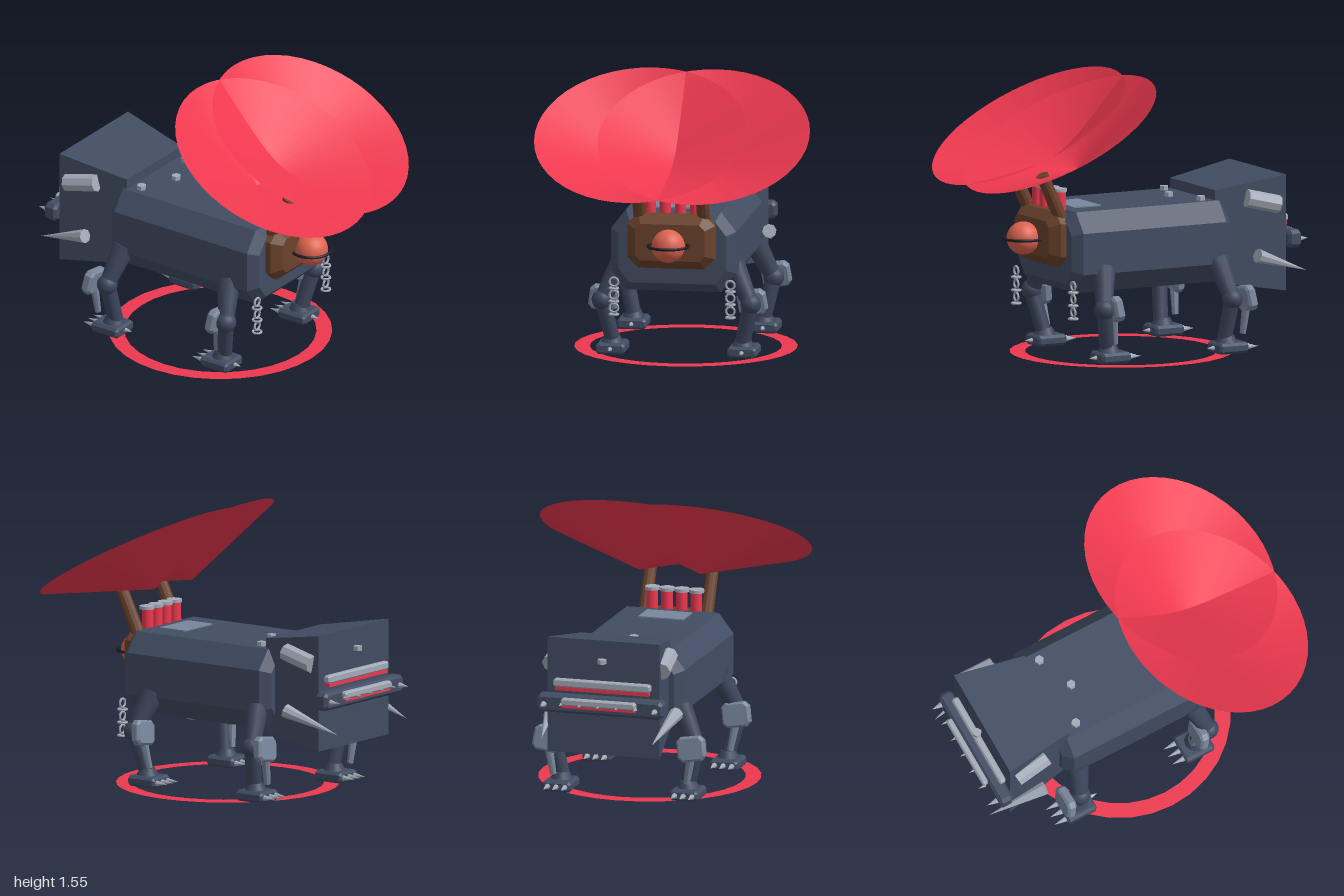
import * as THREE from 'three';

const V = (x, y, z) => new THREE.Vector3(x, y, z);
const mat = (color, extra = {}) => {
  const m = new THREE.MeshStandardMaterial(extra);
  m.color.set(color);
  return m;
};
const M = {
  hull: mat(0x424d63, { flatShading: true }),
  limb: mat(0x3c465c),
  dark: mat(0x2a3342, { flatShading: true }),
  black: mat(0x1a1d24),
  steel: mat(0xa3abb8, { flatShading: true }),
  plate: mat(0x78869c, { flatShading: true }),
  red: mat(0xee384f),
  sheet: mat(0xee384f, { side: THREE.DoubleSide }),
  brown: mat(0x6b422b, { flatShading: true }),
  orange: mat(0xde6450),
};

function add(parent, name, geo, material, pos = V(0, 0, 0), rot = [0, 0, 0]) {
  const mesh = new THREE.Mesh(geo, material);
  mesh.name = name;
  mesh.position.copy(pos);
  mesh.rotation.set(...rot);
  parent.add(mesh);
  return mesh;
}

// Tapered rod from a (radius ra) to b (radius rb); rb = 0 makes a spike
function rod(parent, name, a, b, ra, rb, material, sides = 12) {
  const dir = b.clone().sub(a);
  const geo = new THREE.CylinderGeometry(rb, ra, dir.length(), sides);
  const mesh = add(parent, name, geo, material, a.clone().add(b).multiplyScalar(0.5));
  mesh.quaternion.setFromUnitVectors(V(0, 1, 0), dir.normalize());
  return mesh;
}

// Block with cut corners (cx, cy) and chamfered ends, centred on the origin, long along z
function chamferBlock(w, h, d, cx, cy, bevel) {
  const x = w / 2, y = h / 2;
  const shape = new THREE.Shape([
    [x, -y + cy], [x, y - cy], [x - cx, y], [-x + cx, y],
    [-x, y - cy], [-x, -y + cy], [-x + cx, -y], [x - cx, -y],
  ].map(p => new THREE.Vector2(...p)));
  const geo = new THREE.ExtrudeGeometry(shape, {
    depth: d - 2 * bevel, bevelEnabled: true, bevelSegments: 1,
    bevelSize: bevel, bevelThickness: bevel, bevelOffset: -bevel,
  });
  return geo.translate(0, 0, -d / 2 + bevel);
}

// One leg on side s; knee, hip and foot given by their z
function addLeg(parent, name, s, hipZ, kneeZ, footZ, padZ) {
  const leg = new THREE.Group();
  leg.name = name;
  parent.add(leg);
  const knee = V(s * 0.415, 0.31, kneeZ), ankle = V(s * 0.365, 0.09, footZ + 0.02);
  rod(leg, 'thigh', V(s * 0.31, 0.52, hipZ), knee, 0.065, 0.045, M.limb);
  add(leg, 'knee', new THREE.SphereGeometry(0.058, 16, 12), M.limb, knee);
  rod(leg, 'shin', knee, ankle, 0.045, 0.042, M.limb);
  rod(leg, 'ankle', V(s * 0.365, 0.06, footZ + 0.01), V(s * 0.365, 0.105, footZ + 0.01), 0.065, 0.042, M.limb);
  add(leg, 'kneePad', chamferBlock(0.16, 0.14, 0.055, 0.025, 0.025, 0.012), M.plate,
    V(s * 0.415, 0.31, padZ), [0.15, 0, s * 0.15]);
  rod(leg, 'calfPiston', V(s * 0.41, 0.26, padZ), V(s * 0.385, 0.11, padZ - 0.02 + (footZ - padZ) * 0.3), 0.025, 0.018, M.plate, 8);
  add(leg, 'foot', chamferBlock(0.165, 0.06, 0.18, 0.015, 0.015, 0.012), M.hull, V(s * 0.367, 0.037, footZ));
  rod(leg, 'heelSpike', V(s * 0.367, 0.037, footZ + 0.08), V(s * 0.367, 0.037, footZ + 0.135), 0.016, 0, M.steel, 8);
  for (const i of [-1, 0, 1]) {
    const x = s * 0.367 + i * 0.05;
    rod(leg, 'toeSpike', V(x, 0.037, footZ - 0.08), V(x, 0.037, footZ - 0.165), 0.018, 0, M.steel, 8);
  }
}

export function createModel() {
  const model = new THREE.Group();
  model.name = 'walker';

  // Hull and rear housing
  add(model, 'hull', chamferBlock(0.7, 0.45, 1.0, 0.085, 0.11, 0.05), M.hull, V(0, 0.615, -0.02));
  const housing = new THREE.CylinderGeometry(0.257 * Math.SQRT2, 0.324 * Math.SQRT2, 0.41, 4);
  housing.rotateY(Math.PI / 4).rotateX(Math.PI / 2);
  add(model, 'rearHousing', housing, M.hull, V(0, 0.64, -0.655));
  add(model, 'topPanel', new THREE.BoxGeometry(0.26, 0.012, 0.17), M.plate, V(0, 0.841, 0.285));
  for (const [x, z] of [[-0.21, -0.385], [0.21, -0.385], [0, -0.3], [0, -0.89]])
    add(model, 'bolt', new THREE.CylinderGeometry(0.026, 0.026, 0.025, 6), M.steel, V(x, 0.852, z));

  // Face with a ringed eye
  add(model, 'face', chamferBlock(0.49, 0.305, 0.14, 0.06, 0.06, 0.05), M.brown, V(0, 0.683, 0.495));
  add(model, 'eye', new THREE.SphereGeometry(0.092, 32, 20), M.orange, V(0, 0.675, 0.617));
  add(model, 'eyeRing', new THREE.TorusGeometry(0.112, 0.008, 8, 40), M.black, V(0, 0.675, 0.617), [Math.PI / 2, 0, 0]);

  // Canisters in a row behind the face
  for (let i = 0; i < 4; i++) {
    const x = (i - 1.5) * 0.085;
    add(model, 'canister', new THREE.CylinderGeometry(0.032, 0.032, 0.13, 16), M.red, V(x, 0.88, 0.455));
    add(model, 'canisterCap', new THREE.CylinderGeometry(0.042, 0.042, 0.018, 16), M.steel, V(x, 0.949, 0.46));
  }

  // Mirrored dishes, posts, chains and side fittings
  for (const s of [-1, 1]) {
    const dish = new THREE.ConeGeometry(0.588, 0.23, 48, 1, true).rotateX(Math.PI);
    add(model, 'dish', dish, M.sheet, V(s * 0.177, 1.167, 0.43), [0.502, 0, 0]);
    rod(model, 'dishPost', V(s * 0.178, 0.79, 0.475), V(s * 0.178, 1.05, 0.597), 0.038, 0.035, M.brown, 12);

    for (let i = 0; i < 3; i++) {
      const y = 0.44 - i * 0.073;
      const link = () => new THREE.TorusGeometry(0.024, 0.0065, 8, 20);
      add(model, 'chainLink', link(), M.steel, V(s * 0.325, y, 0.482));
      add(model, 'chainCrossLink', link(), M.steel, V(s * 0.325, y - 0.036, 0.482), [Math.PI / 2, 0, 0]);
    }

    rod(model, 'sideExhaust', V(s * 0.32, 0.8, -0.815), V(s * 0.305, 0.847, -0.62), 0.05, 0.05, M.steel, 8);
    rod(model, 'sideSpike', V(s * 0.36, 0.53, -0.66), V(s * 0.317, 0.42, -0.99), 0.04, 0, M.steel, 8);
    rod(model, 'bumperSpike', V(s * 0.32, 0.6, -0.93), V(s * 0.32, 0.6, -1.0), 0.02, 0, M.steel, 8);

    const side = s > 0 ? 'Left' : 'Right';
    addLeg(model, 'front' + side + 'Leg', s, 0.28, 0.335, 0.27, 0.275);
    addLeg(model, 'back' + side + 'Leg', s, -0.43, -0.47, -0.47, -0.56);
  }

  // Rear bumper with slats and teeth
  add(model, 'bumper', chamferBlock(0.73, 0.1, 0.08, 0.02, 0.02, 0.015), M.hull, V(0, 0.605, -0.9));
  add(model, 'upperSlat', chamferBlock(0.56, 0.045, 0.04, 0.01, 0.01, 0.008), M.steel, V(0, 0.715, -0.88));
  add(model, 'upperGlow', new THREE.BoxGeometry(0.54, 0.02, 0.04), M.red, V(0, 0.683, -0.875));
  add(model, 'lowerSlat', chamferBlock(0.43, 0.04, 0.04, 0.01, 0.01, 0.008), M.steel, V(0, 0.625, -0.95));
  add(model, 'lowerGlow', new THREE.BoxGeometry(0.42, 0.015, 0.03), M.red, V(0, 0.598, -0.945));
  for (let i = -2; i <= 2; i++)
    rod(model, 'tooth', V(i * 0.107, 0.61, -0.955), V(i * 0.107, 0.61, -1.0), 0.01, 0, M.steel, 6);

  // Flat ring on the ground
  add(model, 'groundRing', new THREE.RingGeometry(0.53, 0.617, 32), M.sheet, V(0, 0.001, 0), [-Math.PI / 2, 0, 0]);

  return model;
}
